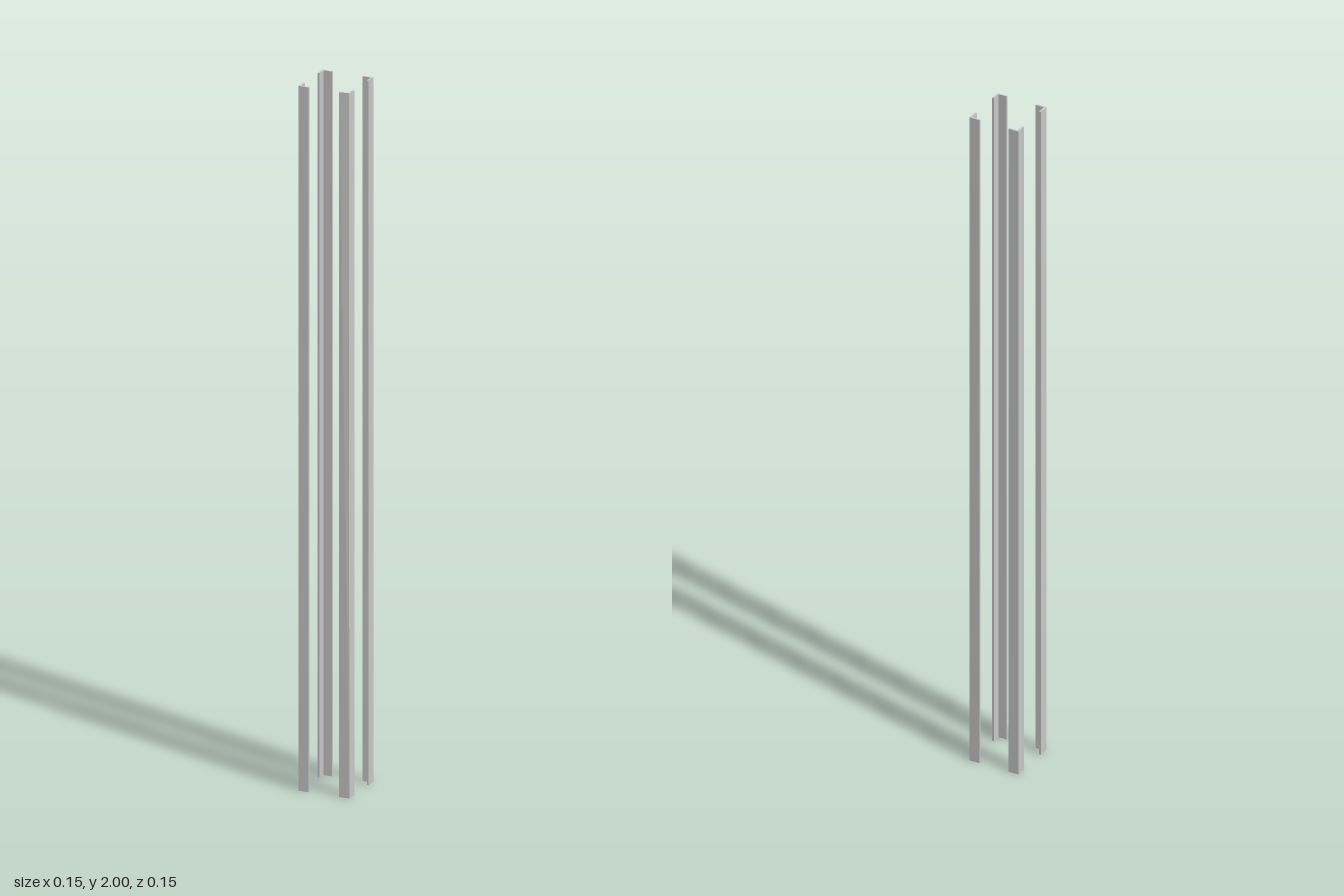
import * as THREE from 'three';

const HEIGHT = 2;
const OUTER = 0.0757; // outer faces of the square
const LEG = 0.0305; // width of each flange
const THICK = 0.0056;
const PINCH = 0.003; // inward lean of one top corner

// L-shaped section with its corner pointing outwards
function angleSection() {
  const inner = OUTER - LEG;
  const web = OUTER - THICK;
  return new THREE.Shape([
    new THREE.Vector2(OUTER, OUTER),
    new THREE.Vector2(inner, OUTER),
    new THREE.Vector2(inner, web),
    new THREE.Vector2(web, web),
    new THREE.Vector2(web, inner),
    new THREE.Vector2(OUTER, inner),
  ]);
}

// Extruded section stood upright; its outer top corner may lean inwards
function angleBar(pinch) {
  const geometry = new THREE.ExtrudeGeometry(angleSection(), { depth: HEIGHT, bevelEnabled: false });
  geometry.rotateX(-Math.PI / 2);
  const p = geometry.attributes.position;
  for (let i = 0; i < p.count; i++) {
    const isOuterCorner = p.getX(i) > OUTER - 0.001 && p.getZ(i) < 0.001 - OUTER;
    if (isOuterCorner && p.getY(i) > HEIGHT / 2) {
      p.setX(i, OUTER - pinch);
      p.setZ(i, pinch - OUTER);
    }
  }
  geometry.computeVertexNormals();
  return geometry;
}

export function createModel() {
  const group = new THREE.Group();
  group.name = 'cornerAngles';
  const material = new THREE.MeshStandardMaterial({ color: 0xcccccc });

  // One angle bar at each corner of the square
  const names = ['backLeftAngle', 'backRightAngle', 'frontRightAngle', 'frontLeftAngle'];
  names.forEach((name, i) => {
    const bar = new THREE.Mesh(angleBar(name === 'frontLeftAngle' ? PINCH : 0), material);
    bar.name = name;
    bar.rotation.y = (i * Math.PI) / 2;
    group.add(bar);
  });
  return group;
}
